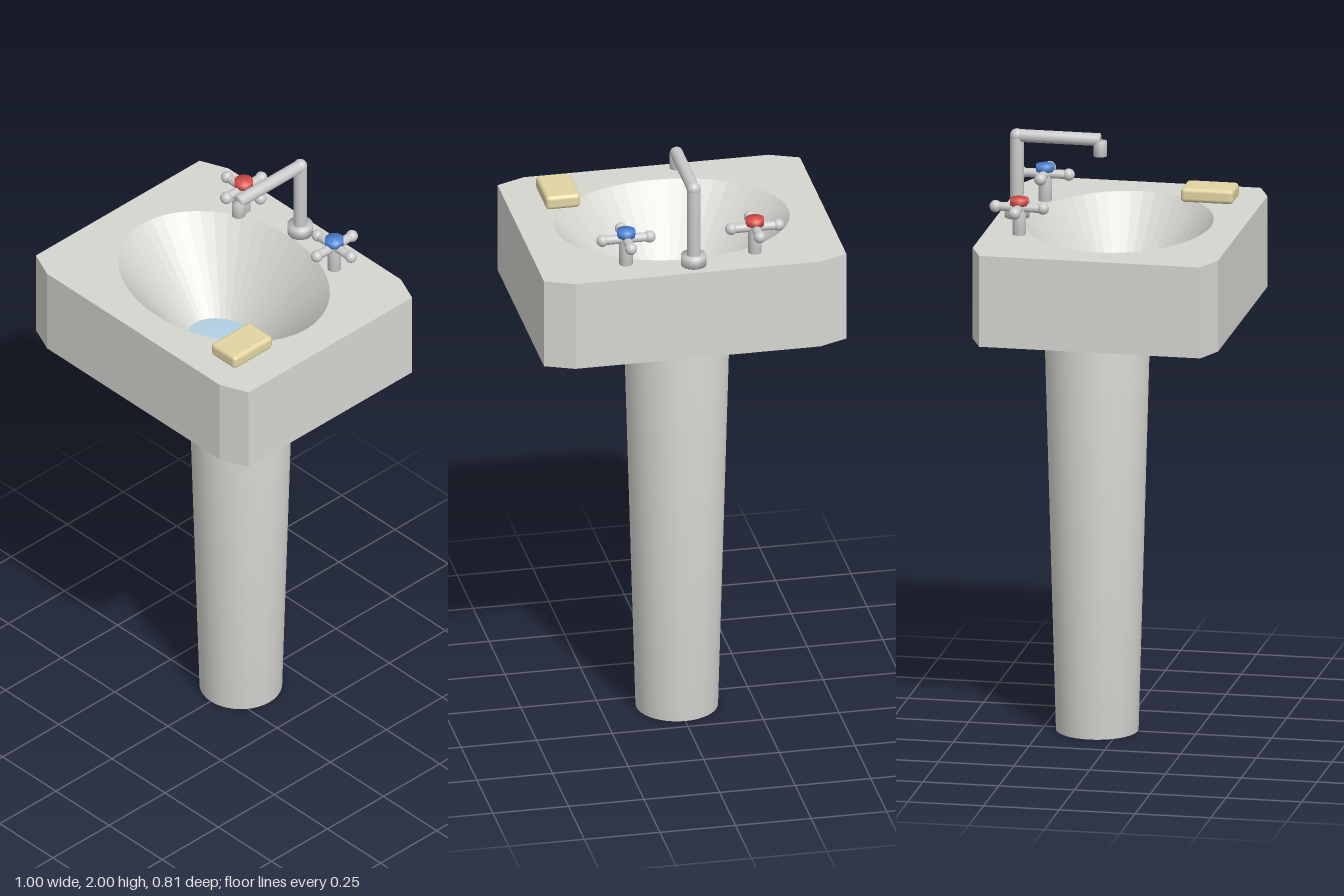
import * as THREE from 'three';
import { mergeVertices } from 'three/addons/utils/BufferGeometryUtils.js';
import { RoundedBoxGeometry } from 'three/addons/geometries/RoundedBoxGeometry.js';

const TOP = 1.705, UNDER = 1.4;
const BOWL_X = 0.385, BOWL_Z = 0.3, BOWL_DEPTH = 0.27, FLOOR = 0.35, SIDES = 48;

const paint = (name, color) => {
  const m = new THREE.MeshStandardMaterial({ color });
  m.name = name;
  return m;
};

// Cylinder whose normals blend across the rims
function softCylinder(rTop, rBottom, height, sides = 32) {
  const g = new THREE.CylinderGeometry(rTop, rBottom, height, sides);
  g.deleteAttribute('normal');
  g.deleteAttribute('uv');
  const merged = mergeVertices(g, 1e-4);
  merged.computeVertexNormals();
  return merged;
}

export function createModel() {
  const model = new THREE.Group();
  model.name = 'pedestalSink';
  const ceramic = paint('ceramic', 0xd6d6d1);
  const metal = paint('metal', 0xcacaca);
  const water = paint('water', 0xb5d5e8);
  const red = paint('hotRed', 0xe0524c);
  const blue = paint('coldBlue', 0x5088dc);
  const soapColor = paint('soap', 0xe2d4a2);

  const add = (parent, name, geometry, material, x = 0, y = 0, z = 0) => {
    const mesh = new THREE.Mesh(geometry, material);
    mesh.name = name;
    mesh.position.set(x, y, z);
    parent.add(mesh);
    return mesh;
  };

  // Pedestal
  add(model, 'pedestal', softCylinder(0.173, 0.134, UNDER, 40), ceramic, 0, UNDER / 2, -0.075);

  // Basin slab with clipped corners
  const basin = new THREE.Group();
  basin.name = 'basin';
  model.add(basin);
  const outline = [
    [-0.405, -0.405], [0.405, -0.405], [0.5, -0.365], [0.5, 0.365],
    [0.405, 0.405], [-0.405, 0.405], [-0.5, 0.365], [-0.5, -0.365],
  ].map(([x, y]) => new THREE.Vector2(x, y));
  const rim = new THREE.Shape(outline);
  const opening = [];
  for (let i = 0; i < SIDES; i++) {
    const a = (i / SIDES) * Math.PI * 2;
    opening.push(new THREE.Vector2(Math.sin(a) * BOWL_X, Math.cos(a) * BOWL_Z));
  }
  rim.holes.push(new THREE.Path(opening));
  add(basin, 'basinRim', new THREE.ShapeGeometry(rim).rotateX(-Math.PI / 2), ceramic, 0, TOP);
  add(basin, 'basinUnderside', new THREE.ShapeGeometry(new THREE.Shape(outline)).rotateX(Math.PI / 2),
    ceramic, 0, UNDER);
  outline.forEach((a, i) => {
    const b = outline[(i + 1) % outline.length];
    const side = add(basin, 'basinSide', new THREE.PlaneGeometry(a.distanceTo(b), TOP - UNDER), ceramic,
      (a.x + b.x) / 2, (TOP + UNDER) / 2, -(a.y + b.y) / 2);
    side.rotation.y = Math.atan2(b.y - a.y, b.x - a.x);
  });

  // Faceted bowl, mirrored in z so that its inside shows
  const bowl = new THREE.CylinderGeometry(1, FLOOR, BOWL_DEPTH, SIDES, 1, true)
    .scale(BOWL_X, 1, -BOWL_Z).toNonIndexed();
  bowl.computeVertexNormals();
  add(basin, 'bowl', bowl, ceramic, 0, TOP - BOWL_DEPTH / 2);
  const pool = softCylinder(FLOOR, FLOOR, 0.012, SIDES).scale(BOWL_X, 1, BOWL_Z);
  add(basin, 'water', pool, water, 0, TOP - BOWL_DEPTH);

  // Faucet
  const faucet = new THREE.Group();
  faucet.name = 'faucet';
  faucet.position.set(0, TOP, -0.34);
  model.add(faucet);
  add(faucet, 'faucetBase', softCylinder(0.041, 0.041, 0.036), metal, 0, 0.018);
  add(faucet, 'faucetPost', softCylinder(0.022, 0.022, 0.27), metal, 0, 0.135);
  add(faucet, 'faucetElbow', new THREE.SphereGeometry(0.023, 20, 14), metal, 0, 0.272);
  add(faucet, 'faucetArm', softCylinder(0.021, 0.021, 0.275).rotateX(Math.PI / 2), metal, 0, 0.272, 0.137);
  add(faucet, 'spout', softCylinder(0.022, 0.022, 0.05), metal, 0, 0.243, 0.275);

  // Cross handles
  for (const side of [-1, 1]) {
    const handle = new THREE.Group();
    handle.name = side < 0 ? 'hotHandle' : 'coldHandle';
    handle.position.set(side * 0.213, TOP, -0.29);
    model.add(handle);
    add(handle, 'handleStem', softCylinder(0.022, 0.022, 0.095), metal, 0, 0.0475);
    add(handle, 'crossBar', softCylinder(0.015, 0.015, 0.156, 16).rotateZ(Math.PI / 2), metal, 0, 0.09);
    add(handle, 'crossBar', softCylinder(0.015, 0.015, 0.156, 16).rotateX(Math.PI / 2), metal, 0, 0.09);
    for (const [x, z] of [[1, 0], [-1, 0], [0, 1], [0, -1]]) {
      add(handle, 'handleKnob', new THREE.SphereGeometry(0.02, 18, 12), metal, x * 0.078, 0.09, z * 0.078);
    }
    add(handle, 'handleCap', softCylinder(0.03, 0.03, 0.022), side < 0 ? red : blue, 0, 0.11);
  }

  // Soap bar
  add(model, 'soapBar', new RoundedBoxGeometry(0.115, 0.048, 0.173, 4, 0.014), soapColor, 0.328, TOP + 0.024, 0.231);

  return model;
}
